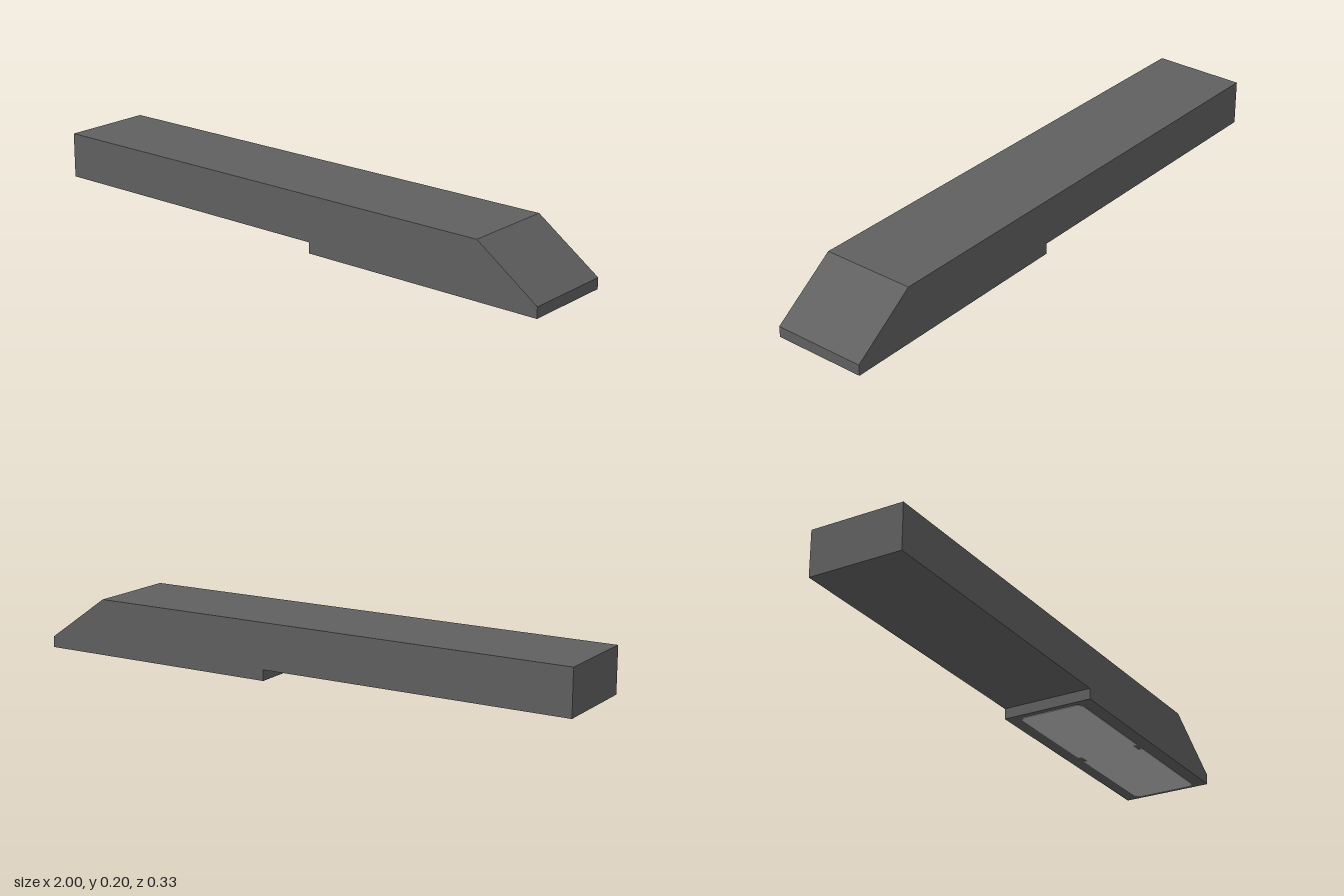
import * as THREE from 'three';

const DEPTH = 0.33;

function shapeFrom(points) {
  return new THREE.Shape(points.map(([x, y]) => new THREE.Vector2(x, y)));
}

export function createModel() {
  const model = new THREE.Group();
  model.name = 'wedgeBar';

  const darkGrey = new THREE.MeshStandardMaterial({ color: 0x606060 });
  darkGrey.name = 'darkGrey';
  const lightGrey = new THREE.MeshStandardMaterial({ color: 0xc0c0c0 });
  lightGrey.name = 'lightGrey';

  // Bar with a sloped nose and a thicker foot under the nose half
  const profile = shapeFrom([
    [-1, 0.04], [0.11, 0.04], [0.11, 0.002], [1, 0.002],
    [1, 0.04], [0.775, 0.2], [-1, 0.2],
  ]);
  const bodyGeometry = new THREE.ExtrudeGeometry(profile, { depth: DEPTH, bevelEnabled: false });
  bodyGeometry.translate(0, 0, -DEPTH / 2);
  const body = new THREE.Mesh(bodyGeometry, darkGrey);
  body.name = 'body';
  model.add(body);

  // Thin pad under the foot, clipped corners and a small notch in each long side
  const halfX = 0.425, halfZ = 0.118, clip = 0.015, notch = 0.02;
  const side = [
    [halfX, halfZ - clip], [halfX - clip, halfZ], [notch, halfZ],
    [notch, halfZ - clip], [-notch, halfZ - clip], [-notch, halfZ],
    [-halfX + clip, halfZ], [-halfX, halfZ - clip],
  ];
  const outline = shapeFrom([...side, ...side.map(([x, z]) => [-x, -z])]);
  const padGeometry = new THREE.ExtrudeGeometry(outline, { depth: 0.004, bevelEnabled: false });
  padGeometry.rotateX(-Math.PI / 2);
  const pad = new THREE.Mesh(padGeometry, lightGrey);
  pad.name = 'undersidePad';
  pad.position.x = 0.555;
  model.add(pad);

  return model;
}
